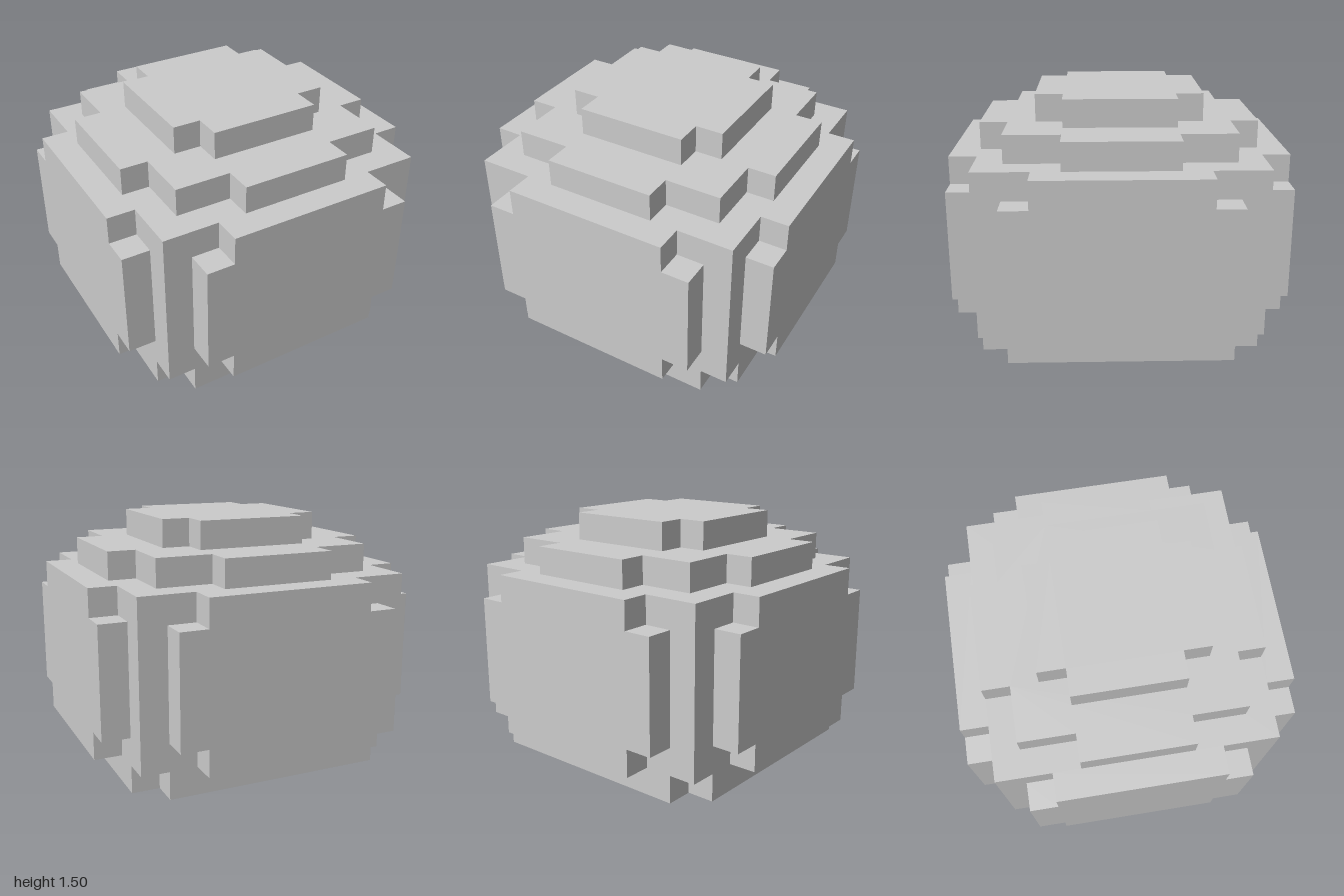
import * as THREE from 'three';

const U = 1 / 6; // one block

// Stepped outline from the corners of one quarter, mirrored to all four
function slab(quarter, depth) {
  const flip = (sx, sy) => quarter.map(([x, y]) => new THREE.Vector2(x * sx * U, y * sy * U));
  const outline = [
    ...flip(1, 1), ...flip(-1, 1).reverse(),
    ...flip(-1, -1), ...flip(1, -1).reverse(),
  ];
  return new THREE.ExtrudeGeometry(new THREE.Shape(outline), { depth: depth * U, bevelEnabled: false });
}

export function createModel() {
  const model = new THREE.Group();
  const material = new THREE.MeshStandardMaterial({ color: 0xcccccc, flatShading: true });

  const add = (name, geometry) => {
    const mesh = new THREE.Mesh(geometry, material);
    mesh.name = name;
    model.add(mesh);
    return mesh;
  };

  // Horizontal layers: name, bottom, height, quarter outline
  const layers = [
    ['base', 0, 1, [[5, 4], [4, 4], [4, 5]]],
    ['body', 1, 6, [[5, 5]]],
    ['lowerCap', 7, 1, [[5, 2], [4, 2], [4, 4], [2, 4], [2, 5]]],
    ['upperCap', 8, 1, [[3, 2], [2, 2], [2, 3]]],
  ];
  for (const [name, bottom, height, quarter] of layers) {
    add(name, slab(quarter, height).rotateX(-Math.PI / 2)).position.y = bottom * U;
  }

  // Raised plates on the four sides
  const plate = slab([[4, 2], [3, 2], [3, 3]], 1).translate(0, 4 * U, 5 * U);
  ['frontPlate', 'leftPlate', 'backPlate', 'rightPlate'].forEach((name, i) => {
    add(name, plate).rotation.y = i * Math.PI / 2;
  });

  return model;
}
